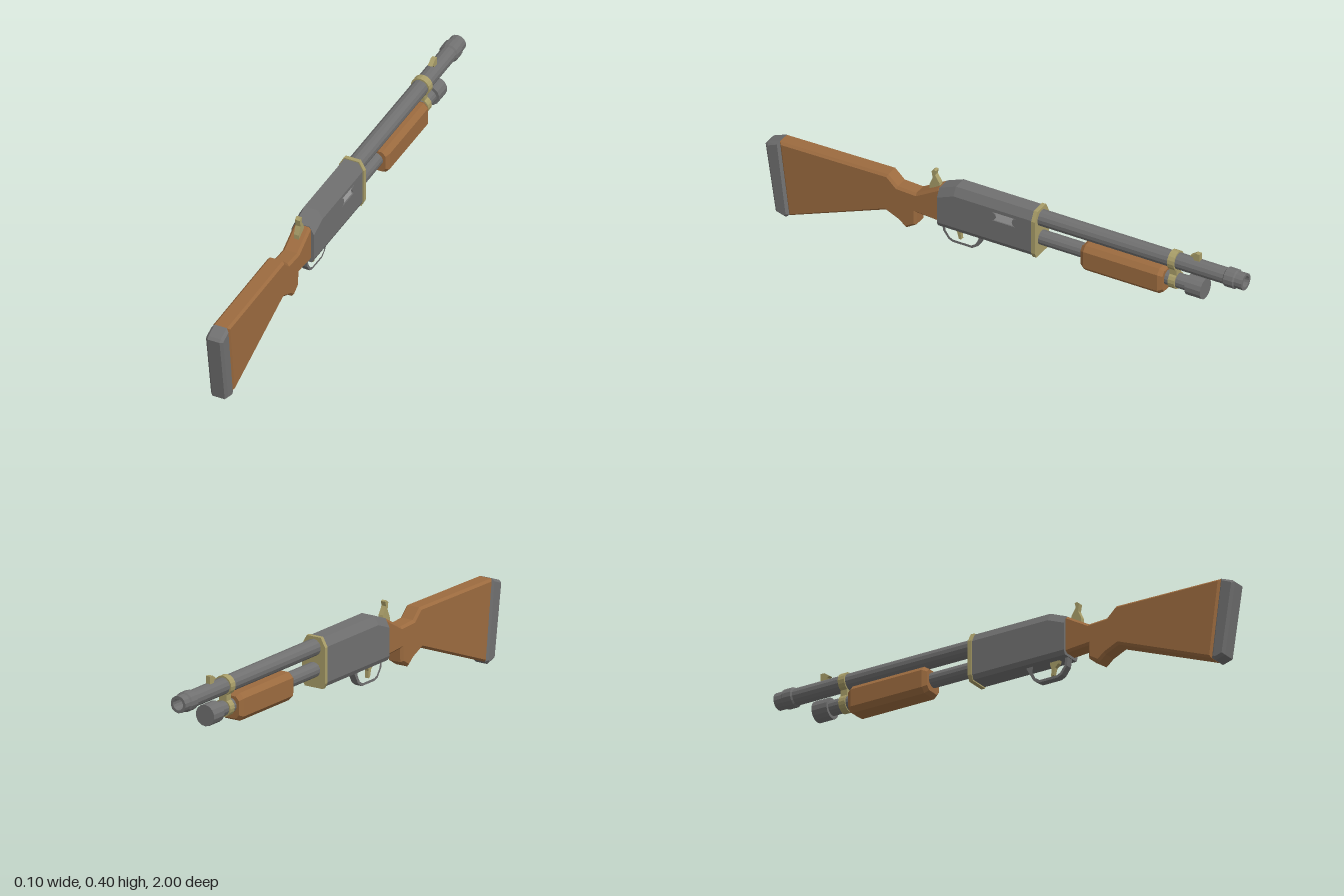
import * as THREE from 'three';

const material = (color) => new THREE.MeshStandardMaterial({ color, flatShading: true });

export function createModel() {
  const model = new THREE.Group();
  const steel = material(0x707070);
  const wood = material(0x9c6b3f);
  const brass = material(0xa89d68);
  const bright = material(0xaaaaaa);

  const add = (name, geometry, mat) => {
    const mesh = new THREE.Mesh(geometry, mat);
    mesh.name = name;
    model.add(mesh);
    return mesh;
  };
  const shapeOf = (pts) => new THREE.Shape(pts.map(([a, b]) => new THREE.Vector2(a, b)));

  // Side profile in (z, y), extruded across x and centred on x
  const slab = (shape, halfWidth, bevel = 0, x = 0) => {
    const depth = 2 * (halfWidth - bevel);
    return new THREE.ExtrudeGeometry(shape, {
      depth, bevelEnabled: bevel > 0, bevelSize: bevel, bevelThickness: bevel,
      bevelOffset: -bevel, bevelSegments: 1, curveSegments: 6,
    }).translate(0, 0, -depth / 2).rotateY(-Math.PI / 2).translate(x, 0, 0);
  };

  // Solid through (x, y) cross-sections, listed from the stock end to the muzzle end
  const loft = (sections) => {
    const n = sections[0].pts.length;
    const pos = [], index = [];
    sections.forEach(({ z, pts }) => pts.forEach(([x, y]) => pos.push(x, y, z)));
    for (let s = 0; s < sections.length - 1; s++) {
      for (let i = 0; i < n; i++) {
        const a = s * n + i, b = s * n + (i + 1) % n;
        index.push(a, a + n, b, b, a + n, b + n);
      }
    }
    const caps = (k) => THREE.ShapeUtils.triangulateShape(
      sections[k].pts.map(([x, y]) => new THREE.Vector2(x, y)), []);
    const last = (sections.length - 1) * n;
    caps(0).forEach(([a, b, c]) => index.push(a, b, c));
    caps(sections.length - 1).forEach(([a, b, c]) => index.push(last + a, last + c, last + b));
    const g = new THREE.BufferGeometry();
    g.setAttribute('position', new THREE.Float32BufferAttribute(pos, 3));
    g.setIndex(index);
    const flat = g.toNonIndexed();
    flat.computeVertexNormals();
    return flat;
  };

  // Turned part along -z; profile is (radius, distance toward the muzzle)
  const turned = (profile, y) => new THREE.LatheGeometry(
    profile.map(([r, d]) => new THREE.Vector2(r, d)), 14).rotateX(-Math.PI / 2).translate(0, y, 0);

  // Stock and butt pad
  add('stock', slab(shapeOf([
    [0.94, 0.32], [0.9, 0.012], [0.495, 0.17], [0.44, 0.145], [0.41, 0.12], [0.367, 0.147],
    [0.365, 0.2], [0.25, 0.192], [0.25, 0.34], [0.275, 0.337], [0.367, 0.284], [0.445, 0.288],
    [0.485, 0.326],
  ]), 0.034, 0.009), wood);
  add('buttPad', slab(shapeOf([
    [0.94, 0.321], [0.9, 0.013], [0.915, 0], [0.957, 0.012], [1, 0.293], [0.99, 0.302],
  ]), 0.035, 0.01), steel);

  // Receiver, with a shallow bay on its left for the side plate
  const receiverSection = (drop) => [
    [-0.038, 0.183], [0.038, 0.183], [0.046, 0.2], [0.035, 0.2], [0.035, 0.335 - drop],
    [0.046, 0.335 - drop], [0.028, 0.368 - drop], [-0.028, 0.368 - drop],
    [-0.046, 0.335 - drop], [-0.046, 0.2],
  ];
  add('receiver', loft([
    { z: 0.27, pts: receiverSection(0.028) },
    { z: 0.2, pts: receiverSection(0) },
    { z: -0.13, pts: receiverSection(0) },
  ]), steel);

  // Side plate pierced by the rounded ejection port
  const pill = (PathType, r) => {
    const p = new PathType();
    p.absarc(-0.062, 0.303, r, -Math.PI / 2, Math.PI / 2, false);
    p.absarc(0.042, 0.303, r, Math.PI / 2, Math.PI * 1.5, false);
    p.closePath();
    return p;
  };
  const plate = shapeOf([[0.27, 0.2], [0.27, 0.307], [0.2, 0.335], [-0.13, 0.335], [-0.13, 0.2]]);
  plate.holes.push(pill(THREE.Path, 0.018));
  add('sidePlate', slab(plate, 0.0055, 0, 0.0405), steel);
  add('ejectionPort', slab(pill(THREE.Shape, 0.0178), 0.003, 0, 0.038), bright);

  // Collar at the front of the receiver
  const collar = [
    [-0.04, 0.178], [0.04, 0.178], [0.051, 0.2], [0.051, 0.336],
    [0.031, 0.372], [-0.031, 0.372], [-0.051, 0.336], [-0.051, 0.2],
  ];
  add('collar', loft([{ z: -0.128, pts: collar }, { z: -0.144, pts: collar }]), brass);

  // Barrel with a raised muzzle ring and hollow bore
  add('barrel', turned([
    [0, 0.1], [0.032, 0.1], [0.032, 0.92], [0.038, 0.925], [0.038, 0.962], [0.033, 0.967],
    [0.033, 1], [0.022, 1], [0.022, 0.9], [0, 0.9],
  ], 0.331), steel);

  // Magazine tube and its end cap
  add('magazineTube', turned([
    [0, 0.1], [0.029, 0.1], [0.029, 0.765], [0.041, 0.765], [0.041, 0.83], [0, 0.83],
  ], 0.246), steel);

  // Sliding forend with chamfered edges and ends
  const forendSection = (s) => [
    [-0.032, -0.053], [0.032, -0.053], [0.049, -0.034], [0.049, 0.034],
    [0.032, 0.053], [-0.032, 0.053], [-0.049, 0.034], [-0.049, -0.034],
  ].map(([x, y]) => [x * s, 0.24 + y * s]);
  add('forend', loft([
    { z: -0.328, pts: forendSection(0.8) }, { z: -0.345, pts: forendSection(1) },
    { z: -0.655, pts: forendSection(1) }, { z: -0.672, pts: forendSection(0.8) },
  ]), wood);

  // Band joining the barrel and magazine tube
  const band = new THREE.Group();
  band.name = 'barrelBand';
  [[0.331, 0.038, 0.03], [0.246, 0.034, 0.027]].forEach(([y, outer, inner]) => {
    const ring = new THREE.Shape().absarc(0, y, outer, 0, Math.PI * 2, false);
    ring.holes.push(new THREE.Path().absarc(0, y, inner, 0, Math.PI * 2, true));
    band.add(new THREE.Mesh(new THREE.ExtrudeGeometry(ring, {
      depth: 0.028, bevelEnabled: false, curveSegments: 8,
    }).translate(0, 0, -0.718), brass));
  });
  const web = new THREE.Mesh(new THREE.BoxGeometry(0.034, 0.032, 0.028), brass);
  web.position.set(0, 0.287, -0.704);
  band.add(web);
  model.add(band);

  // Sights
  add('frontSight', slab(shapeOf([
    [-0.77, 0.374], [-0.782, 0.372], [-0.79, 0.355], [-0.81, 0.355], [-0.81, 0.391], [-0.795, 0.391],
  ]), 0.009), brass);
  add('rearSight', slab(shapeOf([
    [0.322, 0.3], [0.322, 0.328], [0.308, 0.36], [0.313, 0.388], [0.303, 0.396],
    [0.294, 0.393], [0.298, 0.375], [0.28, 0.345], [0.275, 0.325],
  ]), 0.01), brass);

  // Trigger guard loop and trigger
  const guard = shapeOf([
    [0.268, 0.19], [0.262, 0.15], [0.24, 0.12], [0.222, 0.112], [0.14, 0.112],
    [0.116, 0.128], [0.082, 0.19],
  ]);
  guard.holes.push(new THREE.Path([
    [0.256, 0.186], [0.252, 0.154], [0.234, 0.129], [0.219, 0.122], [0.144, 0.122],
    [0.126, 0.134], [0.113, 0.16], [0.116, 0.186],
  ].map(([a, b]) => new THREE.Vector2(a, b))));
  add('triggerGuard', slab(guard, 0.014), steel);
  add('trigger', slab(shapeOf([
    [0.23, 0.192], [0.222, 0.172], [0.207, 0.158], [0.2, 0.13], [0.19, 0.128],
    [0.192, 0.155], [0.185, 0.175], [0.187, 0.192],
  ]), 0.008), brass);

  return model;
}
